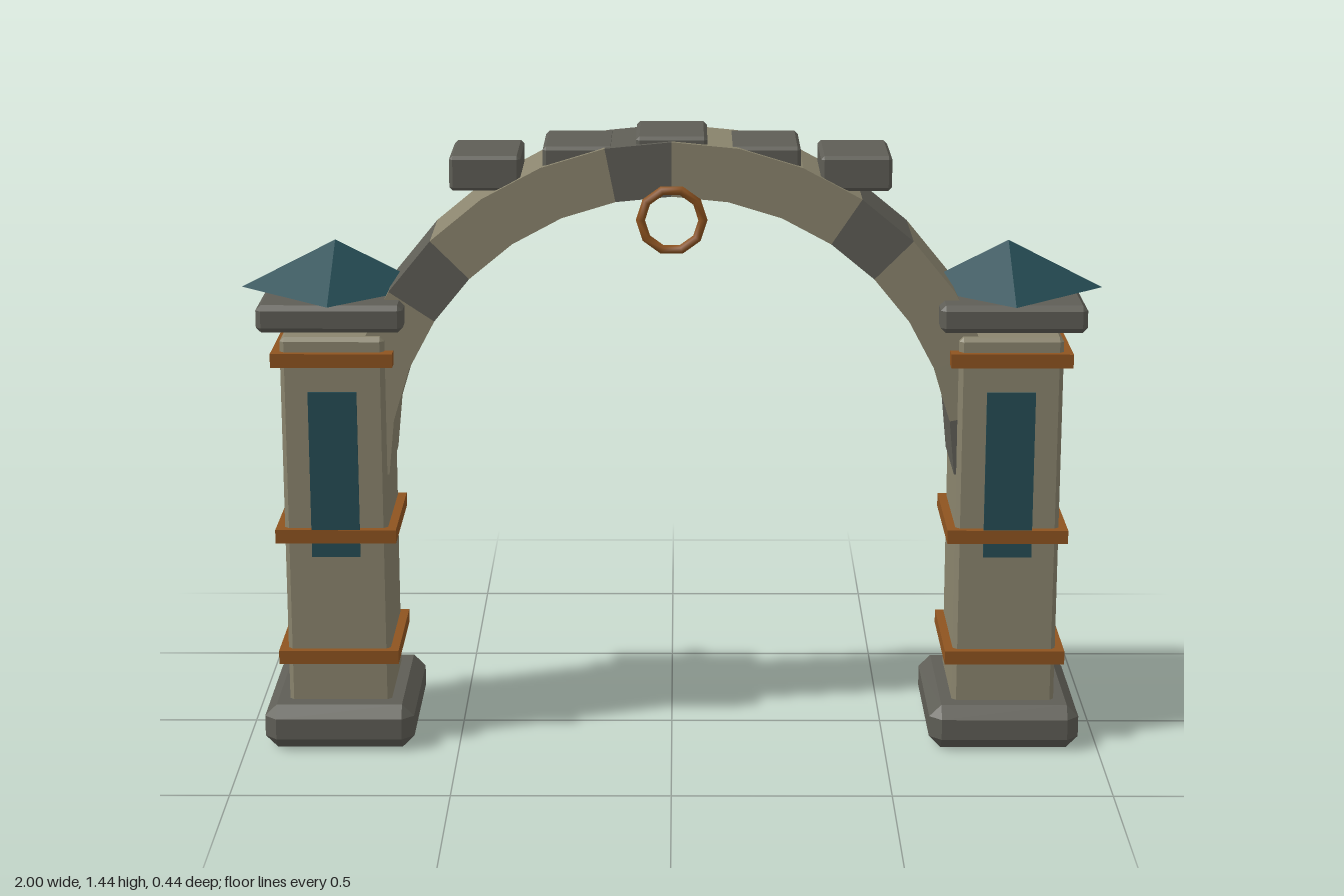
import * as THREE from 'three';
import { ConvexGeometry } from 'three/addons/geometries/ConvexGeometry.js';

const material = (name, color) => {
  const m = new THREE.MeshStandardMaterial({ color });
  m.name = name;
  return m;
};

// Box with every edge cut at 45 degrees
function chamferedBox(w, h, d, c) {
  const points = [];
  for (const sx of [-1, 1]) for (const sy of [-1, 1]) for (const sz of [-1, 1]) {
    const x = w / 2, y = h / 2, z = d / 2;
    points.push(
      new THREE.Vector3(sx * x, sy * (y - c), sz * (z - c)),
      new THREE.Vector3(sx * (x - c), sy * y, sz * (z - c)),
      new THREE.Vector3(sx * (x - c), sy * (y - c), sz * z));
  }
  return new ConvexGeometry(points);
}

// One straight-sided wedge of the arch between two angles
function archStone(inner, outer, a0, a1, depth) {
  const corner = (r, a) => new THREE.Vector2(r * Math.cos(a), r * Math.sin(a));
  const shape = new THREE.Shape([corner(inner, a0), corner(outer, a0), corner(outer, a1), corner(inner, a1)]);
  return new THREE.ExtrudeGeometry(shape, { depth, bevelEnabled: false }).translate(0, 0, -depth / 2);
}

export function createModel() {
  const stone = material('pale stone', 0x8b856e);
  const darkStone = material('dark stone', 0x5f5e56);
  const teal = material('teal', 0x264d55);
  const wood = material('orange wood', 0x8f5420);

  const model = new THREE.Group();
  model.name = 'archGate';

  const add = (parent, name, geometry, mat, x = 0, y = 0, z = 0) => {
    const mesh = new THREE.Mesh(geometry, mat);
    mesh.name = name;
    mesh.position.set(x, y, z);
    parent.add(mesh);
    return mesh;
  };

  // Pillars
  const baseGeo = chamferedBox(0.35, 0.105, 0.42, 0.028);
  const shaftGeo = chamferedBox(0.24, 0.9, 0.292, 0.01);
  const capGeo = chamferedBox(0.335, 0.064, 0.38, 0.012);
  const bandGeo = new THREE.BoxGeometry(0.28, 0.032, 0.318);
  const bannerGeo = new THREE.BoxGeometry(0.112, 0.395, 0.006);
  const roofGeo = new THREE.ConeGeometry(0.22, 0.112, 4).toNonIndexed();
  roofGeo.computeVertexNormals();
  for (const side of [-1, 1]) {
    const pillar = new THREE.Group();
    pillar.name = side < 0 ? 'rightPillar' : 'leftPillar';
    pillar.position.x = side * 0.78;
    model.add(pillar);
    add(pillar, 'base', baseGeo, darkStone, 0, 0.0525);
    add(pillar, 'shaft', shaftGeo, stone, 0, 0.53);
    add(pillar, 'cap', capGeo, darkStone, 0, 1.032);
    add(pillar, 'roof', roofGeo, teal, 0, 1.124);
    for (const y of [0.215, 0.51, 0.93]) add(pillar, 'band', bandGeo, wood, 0, y, 0.005);
    add(pillar, 'banner', bannerGeo, teal, 0, 0.658, 0.16);
  }

  // Arch of sixteen wedges, every fourth one dark
  const arch = new THREE.Group();
  arch.name = 'arch';
  arch.position.y = 0.65;
  model.add(arch);
  const count = 16, step = Math.PI / count;
  for (let i = 0; i < count; i++) {
    add(arch, 'archStone', archStone(0.655, 0.78, i * step, (i + 1) * step, 0.25), i % 4 ? stone : darkStone);
  }

  // Loose blocks along the crown
  const blockGeo = chamferedBox(0.162, 0.08, 0.226, 0.008);
  for (const [x, y] of [[-0.425, 1.355], [-0.212, 1.377], [0, 1.4], [0.212, 1.377], [0.42, 1.355]]) {
    add(model, 'crownBlock', blockGeo, darkStone, x, y);
  }

  // Hanging ring in front of the crown
  add(model, 'ring', new THREE.TorusGeometry(0.071, 0.0105, 6, 10), wood, 0, 1.255, 0.145);

  return model;
}
